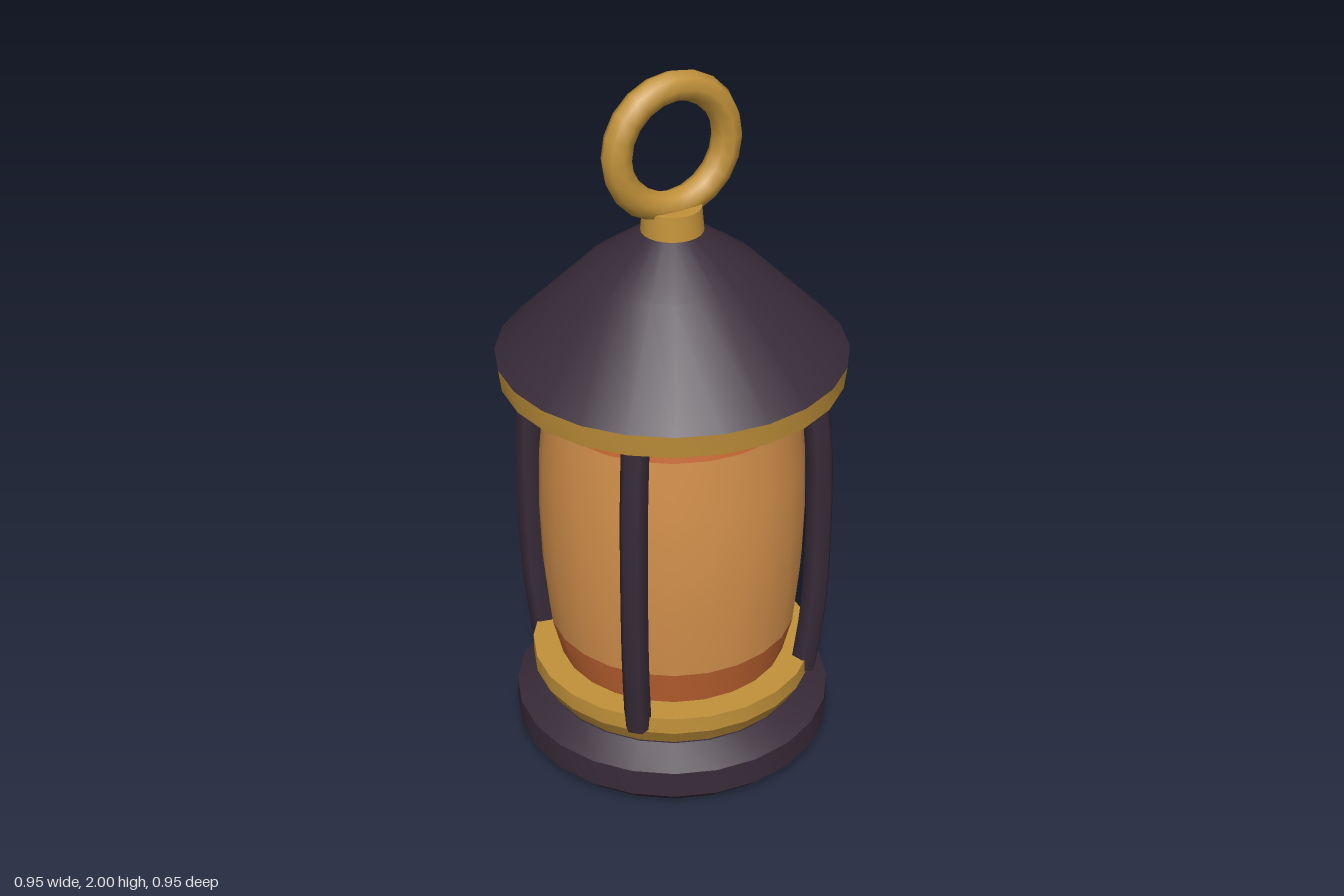
import * as THREE from 'three';
import { toCreasedNormals } from 'three/addons/utils/BufferGeometryUtils.js';

const SIDES = 24;

function material(name, color) {
  const m = new THREE.MeshStandardMaterial({ color });
  m.name = name;
  return m;
}

export function createModel() {
  const lantern = new THREE.Group();
  lantern.name = 'lantern';

  const iron = material('dark iron', 0x382b38);
  const brass = material('brass', 0xc2923a);
  const glass = material('amber glass', 0xd3904c);
  const band = material('orange glass', 0xc46632);

  const add = (name, geometry, mat, parent = lantern) => {
    const mesh = new THREE.Mesh(geometry, mat);
    mesh.name = name;
    parent.add(mesh);
    return mesh;
  };
  // Turned part: profile of [radius, height] running up the outside
  const turned = (name, profile, mat) => {
    const points = profile.map(([r, y]) => new THREE.Vector2(r, y));
    return add(name, toCreasedNormals(new THREE.LatheGeometry(points, SIDES), 0.5), mat);
  };

  // Foot and brass collar above it
  turned('base', [[0, 0], [0.41, 0], [0.45, 0.04], [0.45, 0.12], [0.375, 0.168], [0, 0.168]], iron);
  turned('baseCollar', [[0.36, 0.165], [0.37, 0.168], [0.4, 0.22], [0.4, 0.27], [0, 0.27]], brass);

  // Bulging glass with an orange band at each end
  turned('lowerGlassBand', [[0.32, 0.26], [0.35, 0.38]], band);
  turned('glass', [[0.35, 0.38], [0.366, 0.55], [0.371, 0.72], [0.366, 0.89], [0.35, 1.06]], glass);
  turned('upperGlassBand', [[0.35, 1.06], [0.325, 1.16]], band);

  // Roof with brass rim
  turned('roofRim', [[0, 1.15], [0.468, 1.15], [0.476, 1.214], [0, 1.214]], brass);
  turned('roof', [[0.476, 1.214], [0.23, 1.46], [0.08, 1.565], [0, 1.565]], iron);

  // Four bowed ribs on the diagonals
  const bow = new THREE.CatmullRomCurve3(
    [[0.385, 0.23], [0.409, 0.45], [0.415, 0.7], [0.409, 0.95], [0.385, 1.17]]
      .map(([r, y]) => new THREE.Vector3(r, y, 0)));
  const ribGeometry = new THREE.TubeGeometry(bow, 12, 0.038, 6);
  const capGeometry = new THREE.CircleGeometry(0.038, 6).rotateX(Math.PI / 2).translate(0.385, 0.231, 0);
  for (let i = 0; i < 4; i++) {
    const rib = new THREE.Group();
    rib.name = 'rib' + (i + 1);
    rib.rotation.y = Math.PI / 4 + i * Math.PI / 2;
    add('ribBar', ribGeometry, iron, rib);
    add('ribEnd', capGeometry, iron, rib);
    lantern.add(rib);
  }

  // Hanging ring on its stub
  turned('ringStub', [[0.084, 1.56], [0.078, 1.63], [0, 1.63]], brass);
  add('hangingRing', new THREE.TorusGeometry(0.164, 0.041, 8, 20), brass).position.y = 1.795;

  return lantern;
}
